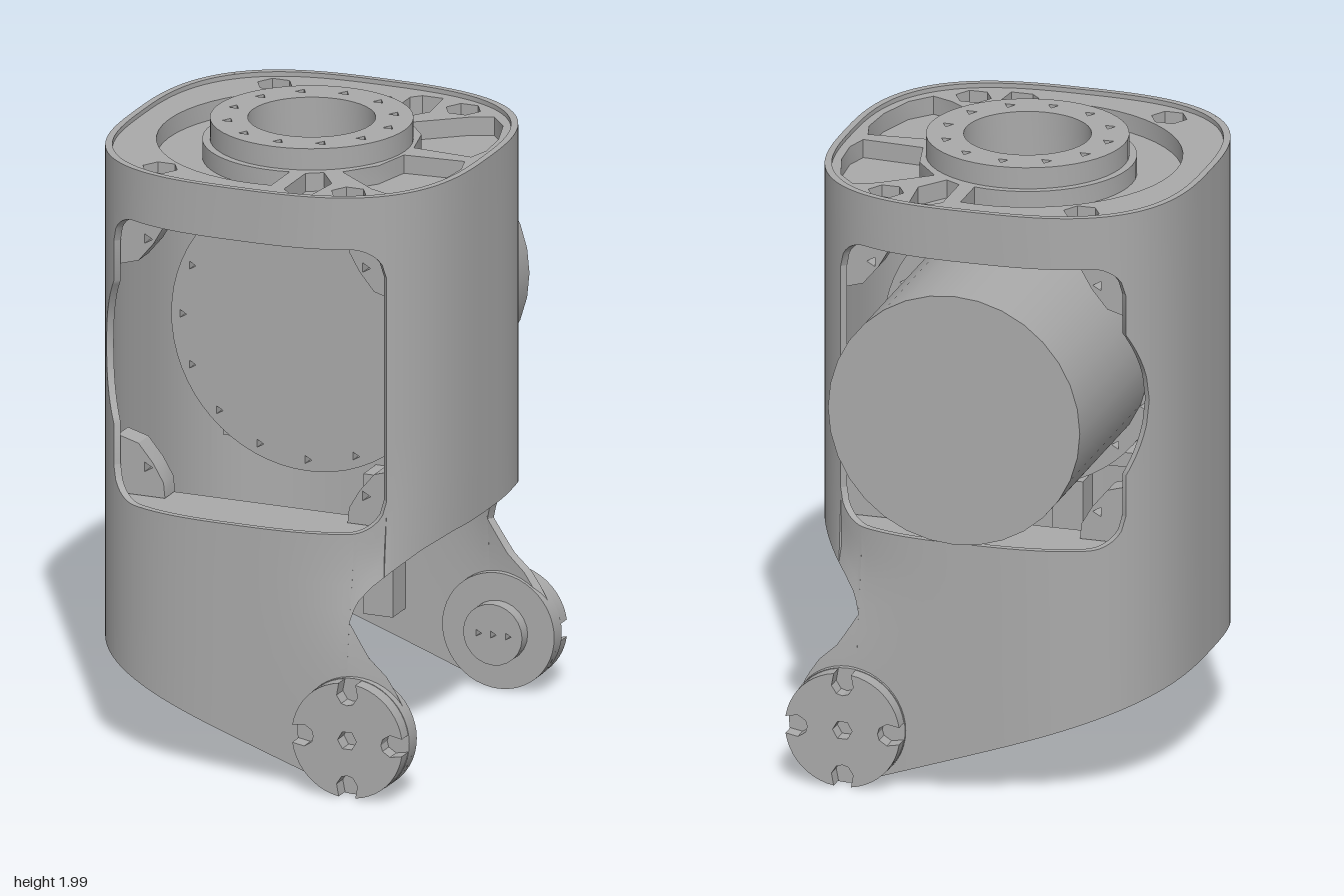
import * as THREE from 'three';
import { toCreasedNormals } from 'three/addons/utils/BufferGeometryUtils.js';

const R = 0.6, N = 2.86, TOP = 1.945, ZC = 0.055, WALL = 0.965;
const metal = new THREE.MeshStandardMaterial({ color: 0xaaaaaa, side: THREE.DoubleSide });
metal.name = 'grey metal';

const V = (x, y) => new THREE.Vector2(x, y);
// half depth of the rounded-square housing at a given x
const depthAt = x => R * Math.pow(Math.max(0, 1 - Math.pow(Math.abs(x) / R, N)), 1 / N);
const lerpTable = (pts, x) => {
  for (let i = 1; i < pts.length; i++) {
    const [a, b] = [pts[i - 1], pts[i]];
    if (x <= b[0]) return a[1] + (b[1] - a[1]) * Math.max(0, (x - a[0]) / (b[0] - a[0]));
  }
  return pts[pts.length - 1][1];
};

function mesh(name, geo) {
  const m = new THREE.Mesh(geo, metal);
  m.name = name;
  return m;
}
function circle(x, y, r, n = 40, start = 0) {
  return Array.from({ length: n }, (_, i) => {
    const a = start + i / n * Math.PI * 2;
    return V(x + r * Math.cos(a), y + r * Math.sin(a));
  });
}
function extrude(outline, holes, depth) {
  const s = new THREE.Shape(outline);
  s.holes = holes.map(h => new THREE.Path(h));
  return toCreasedNormals(new THREE.ExtrudeGeometry(s, { depth, bevelEnabled: false }), 0.5);
}
// plate seen from the front, from z0 to z1
const plateZ = (outline, holes, z0, z1) => extrude(outline, holes, z1 - z0).translate(0, 0, z0);
// plate seen from above, from y0 up to y1
const plateY = (outline, holes, y0, y1) => extrude(outline, holes, y1 - y0).rotateX(Math.PI / 2).translate(0, y1, 0);

// ---- housing wall: strips over x ranges, each between a lower and an upper curve
const bottom = x => {
  const line = 0.35 - (x + 0.6) * 0.348;
  return x < 0.33 ? line : 0.2 - Math.sqrt(Math.max(0, 0.19 ** 2 - (x - 0.4) ** 2));
};
const notchTop = x => lerpTable([[0.373, 0.56], [0.39, 0.62], [0.43, 0.67], [0.48, 0.715], [0.54, 0.765], [0.585, 0.79], [0.6, 0.79]], x);
const notchLow = x => lerpTable([[0.373, 0.56], [0.44, 0.455], [0.5, 0.4], [0.537, 0.345], [0.57, 0.28], [0.589, 0.2]], x);
const corner = x => {
  const d = Math.max(0, x > 0 ? x - 0.36 : -0.37 - x);
  return 0.1 - Math.sqrt(Math.max(0, 0.01 - d * d));
};
const winLow = x => x < -0.47 ? 1.31 - Math.sqrt(Math.max(0, 0.525 ** 2 - x * x)) : 0.84 + corner(x);
const winHigh = x => 2.62 - winLow(x) - (x < -0.47 ? 0 : 0.005);
const top = () => TOP;

const wallPoint = (x, y, k) => {
  const t = x > 0 ? 1 - THREE.MathUtils.smoothstep(y, 0.3, 0.79) : 0; // flattens toward the lug
  return [x * k, y, depthAt(x * (1 - 0.5 * t)) * k];
};
function wallStrip(out, x0, x1, lo, hi, cols, rows) {
  const ang = x => Math.acos(Math.sign(x) * Math.pow(Math.abs(x) / R, N / 2));
  const at = (i, j, k) => {
    const c = Math.cos(ang(x0) + (ang(x1) - ang(x0)) * i / cols);
    let x = R * Math.sign(c) * Math.pow(Math.abs(c), 2 / N);
    if (i === 0) x = x0;
    if (i === cols) x = x1;
    return wallPoint(x, lo(x) + (hi(x) - lo(x)) * j / rows, k);
  };
  const quad = (a, b, c, d) => out.push(...a, ...b, ...c, ...a, ...c, ...d);
  for (let i = 0; i < cols; i++) {
    for (let j = 0; j < rows; j++) {
      quad(at(i, j, 1), at(i + 1, j, 1), at(i + 1, j + 1, 1), at(i, j + 1, 1));
      quad(at(i, j, WALL), at(i, j + 1, WALL), at(i + 1, j + 1, WALL), at(i + 1, j, WALL));
    }
    quad(at(i, 0, WALL), at(i + 1, 0, WALL), at(i + 1, 0, 1), at(i, 0, 1));
    quad(at(i, rows, 1), at(i + 1, rows, 1), at(i + 1, rows, WALL), at(i, rows, WALL));
  }
  for (let j = 0; j < rows; j++) {
    quad(at(0, j, WALL), at(0, j, 1), at(0, j + 1, 1), at(0, j + 1, WALL));
    quad(at(cols, j, 1), at(cols, j, WALL), at(cols, j + 1, WALL), at(cols, j + 1, 1));
  }
}
function wallGeometry() {
  const p = [];
  wallStrip(p, -0.6, -0.525, bottom, top, 10, 4);
  wallStrip(p, -0.525, -0.4701, bottom, winLow, 8, 3);
  wallStrip(p, -0.525, -0.4701, winHigh, top, 8, 2);
  wallStrip(p, -0.47, -0.37, bottom, winLow, 8, 3);
  wallStrip(p, -0.37, 0, bottom, winLow, 10, 3);
  wallStrip(p, 0, 0.373, bottom, winLow, 12, 10);
  wallStrip(p, 0.373, 0.46, notchTop, winLow, 8, 4);
  wallStrip(p, 0.373, 0.589, bottom, notchLow, 14, 6);
  wallStrip(p, -0.47, -0.37, winHigh, top, 8, 1);
  wallStrip(p, -0.37, 0.36, winHigh, top, 20, 1);
  wallStrip(p, 0.36, 0.46, winHigh, top, 8, 1);
  wallStrip(p, 0.46, 0.6, notchTop, top, 16, 6);
  const g = new THREE.BufferGeometry();
  g.setAttribute('position', new THREE.Float32BufferAttribute(p, 3));
  return toCreasedNormals(g, 0.6);
}

// ---- one half: wall, lug, window frame (mirrored for the back)
function createHalf() {
  const half = new THREE.Group();
  half.add(mesh('housingWall', wallGeometry()));

  // lug with its notched bearing disc and inner boss
  half.add(mesh('lugPlate', plateZ(circle(0.4, 0.2, 0.19, 48), [], 0.545, 0.605)));
  const disc = [];
  for (let q = 0; q < 4; q++) {
    const a0 = q * Math.PI / 2;
    const put = (r, a) => disc.push(V(0.4 + r * Math.cos(a0 + a), 0.2 + r * Math.sin(a0 + a)));
    put(0.188, -0.15); put(0.15, -0.24); put(0.122, -0.16); put(0.115, 0);
    put(0.122, 0.16); put(0.15, 0.24); put(0.188, 0.15);
    for (let i = 1; i < 10; i++) put(0.188, 0.15 + i / 10 * (Math.PI / 2 - 0.3));
  }
  half.add(mesh('lugDisc', plateZ(disc, [circle(0.4, 0.2, 0.032, 6)], 0.605, 0.655)));
  half.add(mesh('lugBoss', plateZ(circle(0.4, 0.2, 0.1, 24),
    [0, 1, 2].map(i => circle(0.4 + 0.05 * (i - 1), 0.2, 0.013, 3)), 0.5, 0.55)));

  // inner rib under the window
  half.add(mesh('innerRib', new THREE.BoxGeometry(0.1, 0.46, 0.1).translate(0.02, 0.45, 0.53)));

  // sill along the lower window edge
  const sill = [V(0.455, 0.36), V(-0.455, 0.36)];
  for (let i = 0; i <= 20; i++) {
    const x = -0.455 + i * 0.0455;
    sill.push(V(x, depthAt(x) * 0.975));
  }
  half.add(mesh('windowSill', plateY(sill, [], 0.79, 0.838)));

  // screw tabs in the window corners
  for (const sx of [-1, 1]) for (const sy of [-1, 1]) {
    const f = (x, y) => V(sx * x, 1.31 + sy * y);
    const tab = [f(0.47, 0.47), f(0.31, 0.47), f(0.315, 0.42), f(0.35, 0.36), f(0.4, 0.3), f(0.47, 0.28)];
    half.add(mesh('cornerTab', plateZ(tab, [circle(sx * 0.37, 1.31 + sy * 0.375, 0.018, 3)], 0.36, 0.44)));
  }
  return half;
}

export function createModel() {
  const model = new THREE.Group();
  model.name = 'jointHousing';
  const body = new THREE.Group();
  body.name = 'body';
  body.position.z = ZC;
  model.add(body);

  const front = createHalf();
  front.name = 'frontHalf';
  const back = front.clone();
  back.name = 'backHalf';
  back.scale.z = -1;
  body.add(front, back);

  // top plate: pocketed upper layer over a solid lower layer
  const outline = Array.from({ length: 72 }, (_, i) => {
    const a = i / 72 * Math.PI * 2, c = Math.cos(a), s = Math.sin(a), k = R * 0.975;
    return V(k * Math.sign(c) * Math.abs(c) ** (2 / N), k * Math.sign(s) * Math.abs(s) ** (2 / N));
  });
  const groove = [];
  for (let i = 0; i <= 30; i++) {
    const a = 1.43 + i / 30 * (2 * Math.PI - 2.86);
    groove.push(V(0.485 * Math.cos(a), 0.485 * Math.sin(a)));
  }
  for (let i = 30; i >= 0; i--) {
    const a = 1.37 + i / 30 * (2 * Math.PI - 2.74);
    groove.push(V(0.342 * Math.cos(a), 0.342 * Math.sin(a)));
  }
  const pockets = [groove], boltHoles = [], hexes = [];
  for (const s of [-1, 1]) {
    pockets.push([[0.33, 0.04], [0.53, 0.025], [0.55, 0.1], [0.54, 0.22], [0.5, 0.35], [0.44, 0.42], [0.37, 0.39], [0.22, 0.27], [0.3, 0.17]].map(q => V(q[0], s * q[1])));
    pockets.push([[0.12, 0.33], [0.17, 0.3], [0.235, 0.39], [0.22, 0.53], [0.15, 0.53], [0.12, 0.5]].map(q => V(q[0], s * q[1])));
    for (const x of [-0.32, 0.32]) {
      hexes.push(circle(x, s * 0.455, 0.058, 6));
      boltHoles.push(circle(x, s * 0.455, 0.024, 3));
    }
  }
  const bore = circle(0, 0, 0.31, 48);
  body.add(mesh('topPlatePockets', plateY(outline, [bore, ...pockets, ...hexes], 1.87, 1.93)));
  body.add(mesh('topPlateFloor', plateY(outline, [bore, ...boltHoles], 1.785, 1.87)));

  // raised mounting ring with its screw holes
  const screws = Array.from({ length: 12 }, (_, i) => {
    const a = i / 12 * Math.PI * 2;
    return circle(0.262 * Math.cos(a), 0.262 * Math.sin(a), 0.02, 3, Math.PI / 6);
  });
  body.add(mesh('mountingRing', plateY(circle(0, 0, 0.318, 48), [circle(0, 0, 0.2, 40), ...screws], 1.79, 2)));

  // motor drum with drilled flange
  const drum = new THREE.CylinderGeometry(0.412, 0.412, 0.74, 32).rotateX(Math.PI / 2);
  drum.translate(0, 1.31, -0.34);
  model.add(mesh('motorDrum', drum));
  const drilled = Array.from({ length: 16 }, (_, i) => {
    const a = i / 16 * Math.PI * 2;
    return circle(0.425 * Math.cos(a), 1.31 + 0.425 * Math.sin(a), 0.015, 3);
  });
  model.add(mesh('motorFlange', plateZ(circle(0, 1.31, 0.462, 64), drilled, 0.02, 0.09)));
  return model;
}
